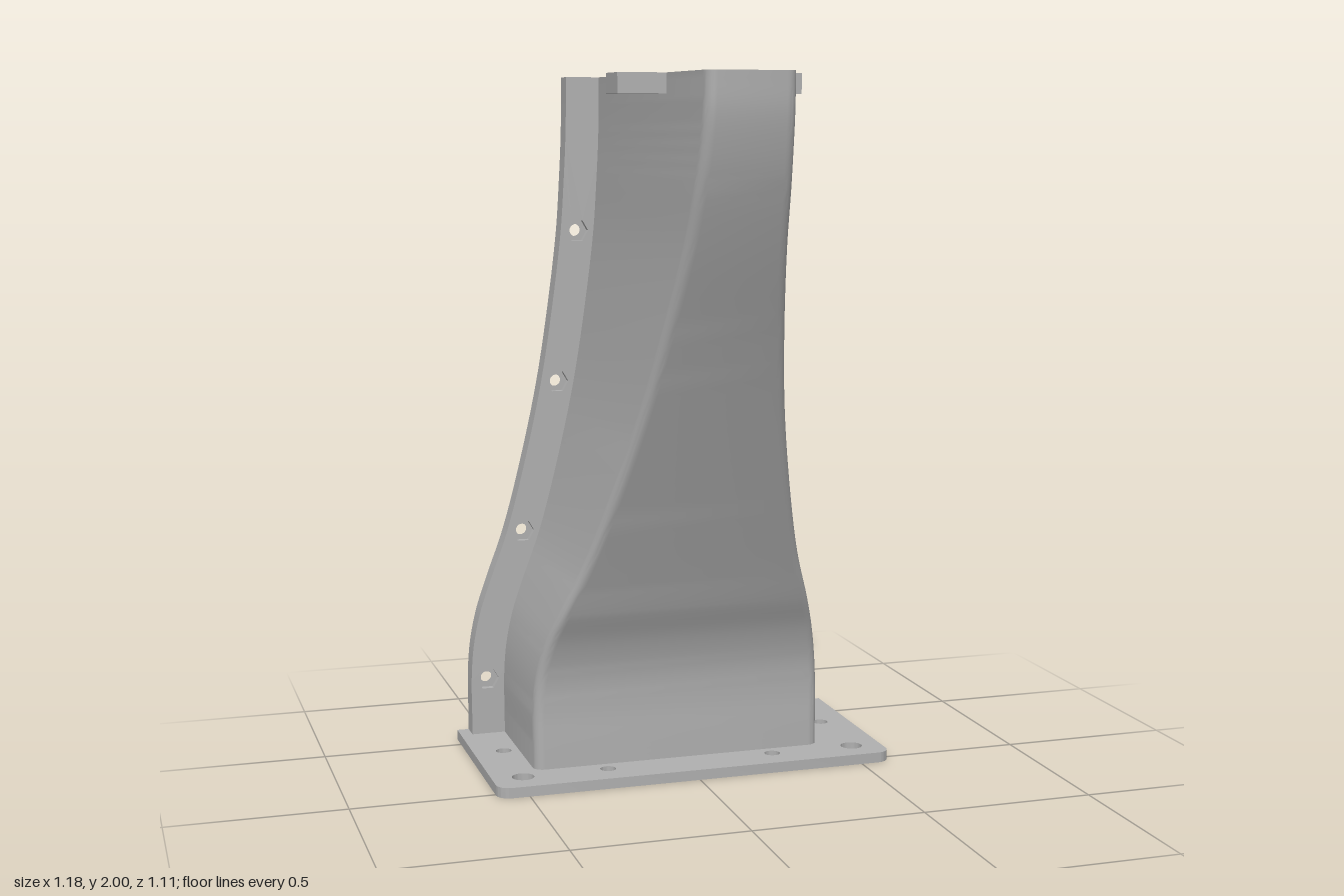
import * as THREE from 'three';
import { toCreasedNormals } from 'three/addons/utils/BufferGeometryUtils.js';

const BACK = -0.555, WALL = 0.0225, CENTRE = -0.0225;

// Guide curve: x = half width, y = height, z = front wall position
const GUIDE = new THREE.CatmullRomCurve3([
  [0.4325, 0.01, -0.09], [0.4325, 0.1, -0.09], [0.4325, 0.2, -0.09], [0.425, 0.3, -0.081],
  [0.405, 0.4, -0.052], [0.372, 0.5, -0.005], [0.3175, 0.65, 0.059], [0.257, 0.875, 0.154],
  [0.2075, 1.1, 0.249], [0.171, 1.325, 0.344], [0.1425, 1.55, 0.44], [0.132, 1.7, 0.497],
  [0.1265, 1.8, 0.527], [0.1235, 1.9, 0.547], [0.1225, 2, 0.553],
].map((p) => new THREE.Vector3(...p))).getPoints(70);

// Half width of the duct at a height
function halfWidth(y) {
  const i = Math.max(1, GUIDE.findIndex((p) => p.y >= y));
  const a = GUIDE[i - 1], b = GUIDE[i];
  return a.x + (b.x - a.x) * (y - a.y) / (b.y - a.y);
}

// U-shaped outline open at the back, with rounded front corners
function uOutline(w, front, r) {
  const pts = [[-w, BACK]];
  for (const s of [-1, 1]) {
    for (let i = 0; i <= 6; i++) {
      const a = (s < 0 ? i : 6 - i) / 6 * Math.PI / 2;
      pts.push([s * (w - r + r * Math.cos(a)), front - r + r * Math.sin(a)]);
    }
  }
  pts.push([w, BACK]);
  return pts;
}

// Thin-walled duct lofted along the guide
function ductGeometry() {
  const pos = [], idx = [];
  const half = uOutline(1, 1, 0.1).length, n = half * 2;
  for (const g of GUIDE) {
    const outer = uOutline(g.x, g.z, 0.03);
    const inner = uOutline(g.x - WALL, g.z - WALL, 0.01).reverse();
    for (const [x, z] of [...outer, ...inner]) pos.push(x, g.y, z);
  }
  for (let j = 0; j < GUIDE.length - 1; j++) {
    for (let i = 0; i < n; i++) {
      const a = j * n + i, b = j * n + (i + 1) % n;
      idx.push(a, b, b + n, a, b + n, a + n);
    }
  }
  // rims at the top and bottom
  const top = (GUIDE.length - 1) * n;
  for (let i = 0; i < half - 1; i++) {
    const o = i, p = i + 1, q = n - 2 - i, r = n - 1 - i;
    idx.push(top + o, top + p, top + q, top + o, top + q, top + r);
    idx.push(o, q, p, o, r, q);
  }
  const geo = new THREE.BufferGeometry();
  geo.setAttribute('position', new THREE.Float32BufferAttribute(pos, 3));
  geo.setIndex(idx);
  return toCreasedNormals(geo, 0.5);
}

function circle(x, y, r) {
  return new THREE.Path().absarc(x, y, r, 0, Math.PI * 2, true);
}

function hexagon(x, y, r) {
  const pts = [];
  for (let i = 0; i < 6; i++) {
    const a = i * Math.PI / 3;
    pts.push(new THREE.Vector2(x + r * Math.cos(a), y + r * Math.sin(a)));
  }
  return new THREE.Path(pts);
}

function extrude(shape, holes, depth) {
  shape.holes = holes;
  const geo = new THREE.ExtrudeGeometry(shape, { depth, bevelEnabled: false, curveSegments: 16 });
  return toCreasedNormals(geo, 0.5);
}

export function createModel() {
  const model = new THREE.Group();
  model.name = 'ductBracket';
  const grey = new THREE.MeshStandardMaterial({ color: 0xb0b0b0 });
  grey.name = 'grey';
  const add = (parent, name, geo) => {
    const mesh = new THREE.Mesh(geo, grey);
    mesh.name = name;
    parent.add(mesh);
    return mesh;
  };

  const body = new THREE.Group();
  body.name = 'body';
  body.position.x = CENTRE;
  model.add(body);
  add(body, 'ductShell', ductGeometry());

  for (const s of [1, -1]) {
    const side = s > 0 ? 'left' : 'right';

    // Curved rear flange in three layers: pin holes, bolt holes, nut pockets
    const outline = [
      ...GUIDE.map((g) => new THREE.Vector2(s * (g.x + 0.1), g.y)),
      ...GUIDE.map((g) => new THREE.Vector2(s * (g.x - WALL), g.y)).reverse(),
    ];
    const bolts = [0.2, 0.65, 1.1, 1.55].map((y) => [s * (halfWidth(y) + 0.05), y]);
    const through = bolts.map(([x, y]) => circle(x, y, 0.018));
    const pins = bolts.map(([, y]) => circle(s * (halfWidth(y + 0.055) + 0.05), y + 0.055, 0.016));
    const pockets = bolts.map(([x, y]) => hexagon(x, y, 0.034));
    [[...through, ...pins], through, pockets].forEach((holes, i) => {
      // the flange layers start at the wall so the duct interior stays clear
      const layer = add(body, side + 'FlangeLayer' + (i + 1), extrude(new THREE.Shape(outline), holes, 0.02));
      layer.position.z = BACK + i * 0.02;
    });

    // Top mounting tab with a bolt hole and a nut pocket below
    const x0 = s * 0.115, x1 = s * 0.2575;
    const tab = () => new THREE.Shape([[x0, -0.09], [x1, -0.09], [x1, -0.205], [x0, -0.205]]
      .map((p) => new THREE.Vector2(...p)));
    [hexagon(s * 0.2, -0.1475, 0.034), circle(s * 0.2, -0.1475, 0.018)].forEach((hole, i) => {
      const geo = extrude(tab(), [hole], 0.0275).rotateX(-Math.PI / 2);
      add(body, side + (i ? 'TabTop' : 'TabPocket'), geo).position.y = 1.945 + i * 0.0275;
    });
  }

  // Base plate, notched at the back to leave the duct open
  const r = 0.04, f = -0.045, w = 0.59;
  const inner = 0.4325 - WALL;
  const plate = new THREE.Shape();
  plate.moveTo(-w, -BACK);
  plate.lineTo(-w, f + r);
  plate.absarc(-w + r, f + r, r, Math.PI, Math.PI * 1.5, false);
  plate.lineTo(w - r, f);
  plate.absarc(w - r, f + r, r, -Math.PI / 2, 0, false);
  plate.lineTo(w, -BACK);
  plate.lineTo(CENTRE + inner, -BACK);
  plate.lineTo(CENTRE + inner, 0.1125);
  plate.lineTo(CENTRE - inner, 0.1125);
  plate.lineTo(CENTRE - inner, -BACK);
  const holes = [];
  for (const s of [-1, 1]) {
    holes.push(circle(s * 0.5, 0.045, 0.032), circle(s * 0.5, 0.305, 0.023), circle(s * 0.25, 0.045, 0.023));
  }
  add(model, 'basePlate', extrude(plate, holes, 0.03).rotateX(-Math.PI / 2));

  return model;
}
